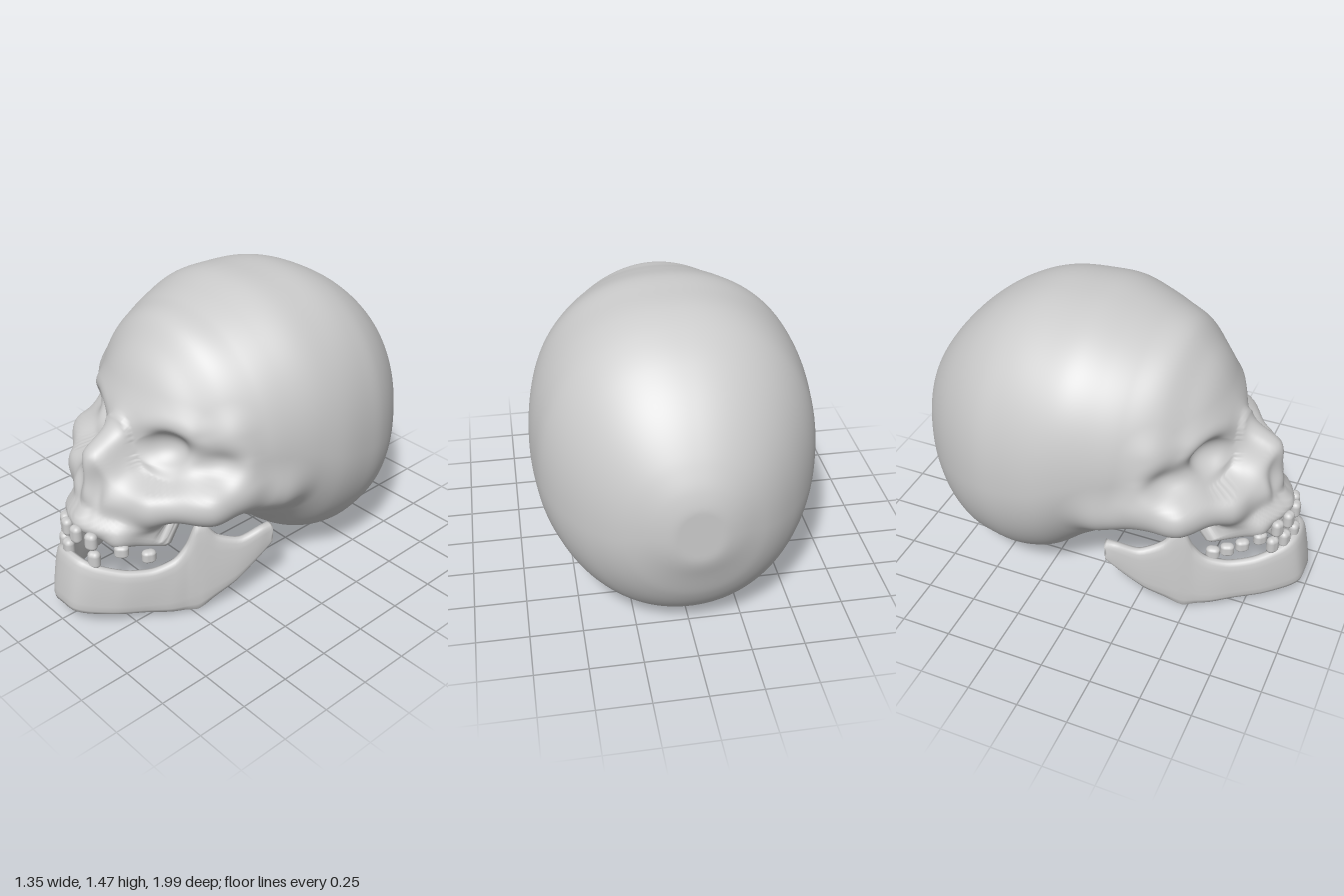
import * as THREE from 'three';
import { mergeVertices } from 'three/addons/utils/BufferGeometryUtils.js';
import { RoundedBoxGeometry } from 'three/addons/geometries/RoundedBoxGeometry.js';

const bone = new THREE.MeshStandardMaterial({ color: 0xcccccc });

// Braincase cross-sections along z: [z, bottom, top, half width]
const sections = [
  [-1.02, .54, .84, .12], [-1, .51, .86, .15], [-.97, .45, .92, .21], [-.91, .29, 1.03, .325],
  [-.8, .13, 1.18, .455], [-.65, .03, 1.32, .57], [-.5, .01, 1.41, .64], [-.37, .005, 1.455, .665],
  [-.2, .07, 1.47, .675], [-.05, .19, 1.47, .65], [.1, .28, 1.435, .605], [.2, .34, 1.405, .565],
  [.34, .39, 1.36, .485], [.42, .42, 1.28, .42], [.5, .47, 1.18, .34], [.57, .56, 1.04, .23],
  [.61, .65, .95, .1],
];
const sectionAt = new THREE.CubicInterpolant(
  sections.map((s) => s[0]), sections.flatMap((s) => s.slice(1)), 3);

// Distance helpers
function ellipsoid(x, y, z, c, r) {
  const a = (x - c[0]) / r[0], b = (y - c[1]) / r[1], d = (z - c[2]) / r[2];
  const k0 = Math.hypot(a, b, d), k1 = Math.hypot(a / r[0], b / r[1], d / r[2]);
  return k1 < 1e-6 ? -Math.min(...r) : k0 * (k0 - 1) / k1;
}
function capsule(x, y, z, a, b, r) {
  const d = [b[0] - a[0], b[1] - a[1], b[2] - a[2]];
  const px = x - a[0], py = y - a[1], pz = z - a[2];
  const h = THREE.MathUtils.clamp(
    (px * d[0] + py * d[1] + pz * d[2]) / (d[0] ** 2 + d[1] ** 2 + d[2] ** 2), 0, 1);
  return Math.hypot(px - d[0] * h, py - d[1] * h, pz - d[2] * h) - r;
}
function blend(a, b, k) {
  const h = Math.max(k - Math.abs(a - b), 0) / k;
  return Math.min(a, b) - h * h * k / 4;
}
const carve = (a, b, k) => -blend(-a, b, k);

function braincase(x, y, z) {
  const [b, t, w] = sectionAt.evaluate(z);
  const mid = b + (t - b) * .47, up = y > mid;
  const h = up ? t - mid : mid - b;
  const n = up ? 2.25 - .35 * THREE.MathUtils.smoothstep(z, -.1, .45) : 2.05;
  const r = (Math.pow(x / w, n) + Math.pow(Math.abs(y - mid) / h, n)) ** (1 / n);
  return Math.max(carve((r - 1) * Math.min(w, h), 1 + z, .05), z - .61);
}

// Masses added to the face: [center, radii, blend] and [from, to, radius, blend]
const masses = [
  [[0, .95, .45], [.34, .09, .13], .08],    // brow
  [[0, .61, .55], [.26, .17, .28], .06],    // upper jaw
  [[0, .72, .62], [.12, .15, .175], .08],   // nose base
  [[0, .50, .62], [.25, .08, .26], .06],    // front gum
];
const bars = [
  [[0, .88, .60], [0, .81, .75], .035, .13],       // nasal bone
  [[.26, .62, .62], [.43, .64, .44], .085, .12],   // cheekbone
  [[.43, .64, .44], [.50, .61, .10], .065, .16],   // cheek arch
  [[.48, .70, .29], [.42, .94, .30], .05, .12],    // outer eye rim
  [[0, .50, .84], [.16, .455, .76], .04, .05],     // tooth ridge, front
  [[.16, .455, .76], [.24, .40, .56], .045, .05],  // tooth ridge, side
];
// Hollows cut from the face, widening outward
const hollows = [
  [[.28, .865, .74], [.175, .14, .29], .07],  // eye socket
  [[.52, .83, .58], [.17, .09, .24], .07],    // outer part of eye socket
  [[.07, .70, .84], [.03, .10, .055], .05],   // side of nose opening
];

function skullField(px, y, z) {
  const x = Math.abs(px);
  let d = braincase(x, y, z);
  if (z < -.3) return d;
  for (const [c, r, k] of masses) d = blend(d, ellipsoid(x, y, z, c, r), k);
  for (const [a, b, r, k] of bars) d = blend(d, capsule(x, y, z, a, b, r), k);
  for (const [c, r, k] of hollows) d = carve(d, ellipsoid(x, y, z, c, r), k);
  return d;
}

// Skull: a sphere whose vertices are drawn in along their rays to the bone surface
function skullGeometry() {
  let geo = new THREE.SphereGeometry(1, 216, 160);
  geo.rotateX(Math.PI / 2);
  geo.deleteAttribute('uv');
  geo.deleteAttribute('normal');
  geo = mergeVertices(geo, 1e-5);
  const p = geo.attributes.position, v = new THREE.Vector3(), cy = .82;
  for (let i = 0; i < p.count; i++) {
    v.fromBufferAttribute(p, i).normalize();
    const f = (t) => skullField(v.x * t, cy + v.y * t, v.z * t);
    let t = 1.2;
    while (t > .1 && f(t) > 0) t -= .012;
    let lo = t, hi = t + .012;
    for (let k = 0; k < 9; k++) {
      const m = (lo + hi) / 2;
      if (f(m) > 0) hi = m; else lo = m;
    }
    p.setXYZ(i, v.x * lo, cy + v.y * lo, v.z * lo);
  }
  geo.computeVertexNormals();
  return geo;
}

// Lower jaw from hinge to chin: top edge x, y, z then bottom edge x, y, z
const jawStations = [
  [.49, .40, .11, .50, .30, .12], [.485, .40, .17, .48, .22, .20], [.45, .37, .27, .45, .13, .30],
  [.40, .41, .37, .41, .06, .40], [.37, .48, .42, .39, .02, .45], [.35, .48, .46, .375, .005, .48],
  [.335, .38, .50, .35, .015, .53], [.315, .31, .56, .32, .025, .60], [.275, .28, .66, .265, .045, .70],
  [.215, .29, .77, .20, .06, .82], [.135, .325, .87, .115, .07, .925], [.075, .355, .915, .065, .08, .967],
];

function jawGeometry() {
  const half = jawStations;
  const all = [...half, [0, .365, .925, 0, .085, .972],
    ...half.slice().reverse().map(([a, b, c, d, e, f]) => [-a, b, c, -d, e, f])];
  const edge = (o) => new THREE.CatmullRomCurve3(
    all.map((s) => new THREE.Vector3(s[o], s[o + 1], s[o + 2])), false, 'catmullrom', .4);
  const top = edge(0), bottom = edge(3);
  const N = 120, M = 16, pos = [], idx = [];
  const power = (a, e) => Math.sign(a) * Math.abs(a) ** e;
  for (let i = 0; i <= N; i++) {
    const P = top.getPoint(i / N), Q = bottom.getPoint(i / N);
    const T = top.getTangent(i / N).add(bottom.getTangent(i / N)).setY(0).normalize();
    const out = new THREE.Vector3(0, 1, 0).cross(T);
    const mid = P.clone().add(Q).multiplyScalar(.5), rise = P.clone().sub(Q).multiplyScalar(.5);
    for (let k = 0; k < M; k++) {
      const a = k / M * Math.PI * 2;
      const v = mid.clone().addScaledVector(rise, power(Math.sin(a), .6))
        .addScaledVector(out, .028 * power(Math.cos(a), .6));
      pos.push(v.x, v.y, v.z);
      if (i < N) {
        const A = i * M + k, B = i * M + (k + 1) % M;
        idx.push(A, B, A + M, B, B + M, A + M);
      }
    }
  }
  // Hinge end caps
  for (let k = 1; k < M - 1; k++) {
    const e = N * M;
    idx.push(0, k + 1, k, e, e + k, e + k + 1);
  }
  const geo = new THREE.BufferGeometry();
  geo.setAttribute('position', new THREE.Float32BufferAttribute(pos, 3));
  geo.setIndex(idx);
  geo.computeVertexNormals();
  return geo;
}

// A row of teeth placed by angle around a dental arch
function teethRow(name, angles, width, z0, heightAt) {
  const row = new THREE.Group();
  row.name = name;
  const geo = new RoundedBoxGeometry(.062, .09, .05, 4, .024);
  for (const a of angles) {
    const tooth = new THREE.Mesh(geo, bone);
    const z = z0 + .4 * Math.cos(a);
    tooth.name = 'tooth';
    tooth.position.set(width * Math.sin(a), heightAt(a, z), z);
    tooth.rotation.y = a;
    if (Math.abs(a) > .7) tooth.scale.set(1.1, .72, 1);
    row.add(tooth);
  }
  return row;
}

export function createModel() {
  const model = new THREE.Group();
  model.name = 'skullModel';
  const add = (name, geo) => {
    const mesh = new THREE.Mesh(geo, bone);
    mesh.name = name;
    model.add(mesh);
  };
  add('skull', skullGeometry());
  add('lowerJaw', jawGeometry());
  model.add(teethRow('upperTeeth', [-1.36, -1.187, -1, -.76, -.48, -.23, .07, .365, .8, 1.15],
    .28, .5, (a, z) => .31 + (z - .585) * .48));
  model.add(teethRow('lowerTeeth', [-.61, -.38, -.11, .46],
    .26, .515, (a) => .37 - .13 * (1 - Math.cos(a))));
  return model;
}
